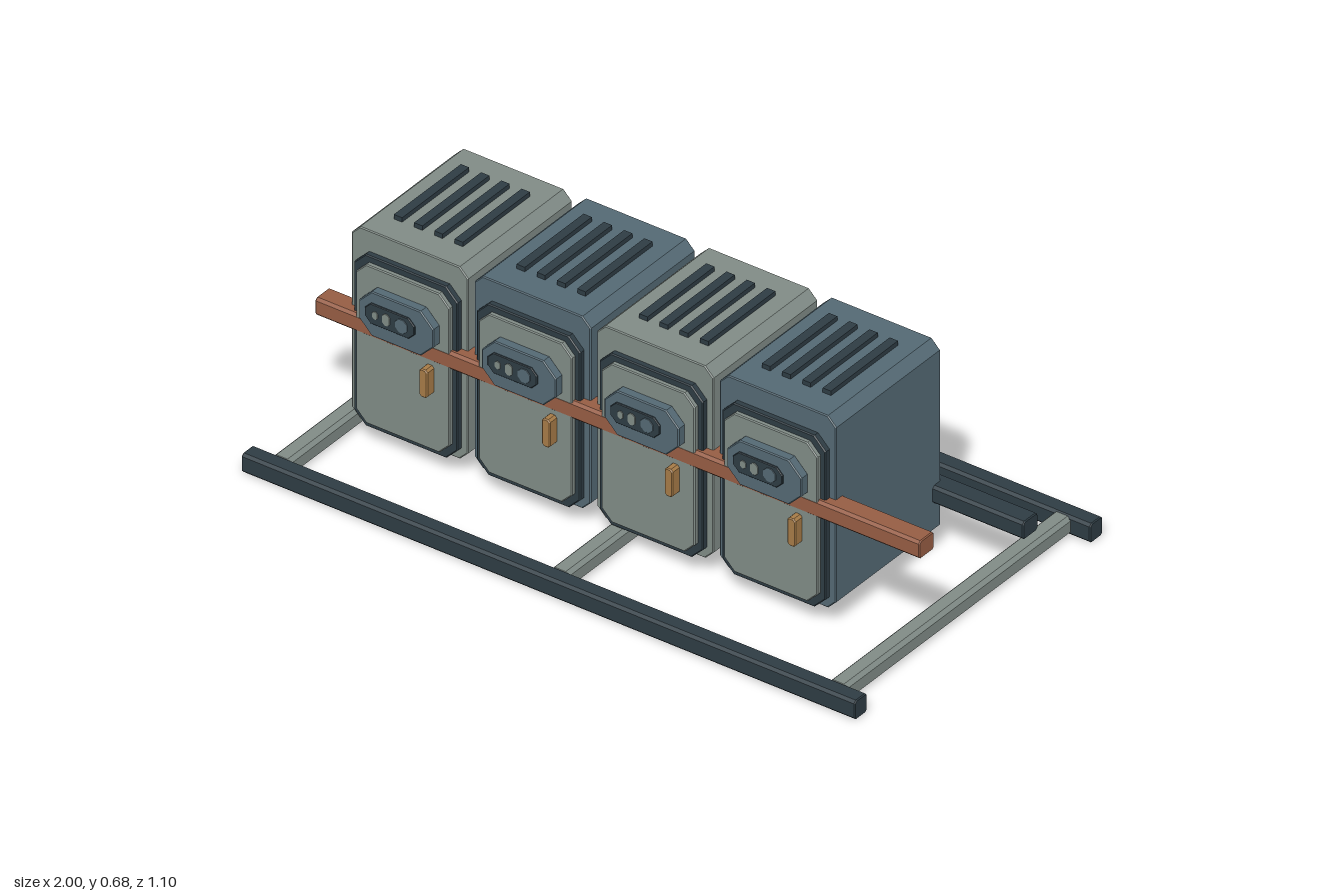
import * as THREE from 'three';

const mat = (name, color) => {
  const m = new THREE.MeshStandardMaterial({ color });
  m.name = name;
  return m;
};

// Octagonal block: w by h with corners cut by c, depth d along z, all outer edges bevelled by b
function block(w, h, c, d, b = 0.003) {
  const x = w / 2 - b, y = h / 2 - b, k = Math.min(c, x, y);
  const shape = new THREE.Shape([
    [x - k, -y], [x, -y + k], [x, y - k], [x - k, y],
    [-x + k, y], [-x, y - k], [-x, -y + k], [-x + k, -y],
  ].map(([px, py]) => new THREE.Vector2(px, py)));
  const geo = new THREE.ExtrudeGeometry(shape, {
    depth: d - 2 * b, bevelEnabled: b > 0, bevelSize: b, bevelThickness: b, bevelSegments: 1,
  });
  return geo.translate(0, 0, b - d / 2);
}

export function createModel() {
  const model = new THREE.Group();
  model.name = 'lockerRack';
  const dark = mat('charcoal', 0x2e3c44);
  const slate = mat('slate blue', 0x546974);
  const grey = mat('sage grey', 0x808b86);
  const copper = mat('copper brown', 0x965d44);
  const ochre = mat('ochre', 0xa67b47);

  const add = (parent, name, geo, material, x, y, z) => {
    const mesh = new THREE.Mesh(geo, material);
    mesh.name = name;
    mesh.position.set(x, y, z);
    parent.add(mesh);
    return mesh;
  };
  // Bar running along x between x0 and x1
  const barX = (name, material, x0, x1, y, z, h, d) =>
    add(model, name, block(d, h, 0.006, x1 - x0).rotateY(Math.PI / 2), material, (x0 + x1) / 2, y, z);

  // Base frame
  for (const s of [1, -1]) {
    barX(s > 0 ? 'frontBaseRail' : 'backBaseRail', dark, -1, 1, 0.03, s * 0.523, 0.06, 0.056);
  }
  for (const x of [-0.907, 0, 0.907]) {
    add(model, 'crossBar', block(0.058, 0.056, 0.009, 1.0), grey, x, 0.03, 0);
  }

  // Long bars across the front and back of the units
  barX('frontBar', copper, -0.97, 1, 0.382, 0.231, 0.056, 0.067);
  barX('backBar', dark, -0.97, 1, 0.197, -0.23, 0.056, 0.066);

  // Four units in alternating colours
  for (let i = 0; i < 4; i++) {
    const unit = new THREE.Group();
    unit.name = 'unit';
    unit.position.x = -0.685 + 0.4 * i;
    model.add(unit);

    add(unit, 'body', block(0.38, 0.605, 0.026, 0.464), i % 2 ? slate : grey, 0, 0.3625, 0);
    add(unit, 'doorFrame', block(0.338, 0.54, 0.036, 0.03), dark, 0, 0.33, 0.235);
    add(unit, 'doorPanel', block(0.305, 0.5, 0.032, 0.02), grey, 0, 0.33, 0.254);

    // Control panel with dark inset and indicators
    add(unit, 'controlPanel', block(0.243, 0.14, 0.04, 0.03), slate, 0, 0.455, 0.278);
    add(unit, 'controlInset', block(0.162, 0.064, 0.018, 0.01, 0.002), dark, -0.018, 0.459, 0.293);
    const lights = [[-0.064, 0.018, 0.024, grey], [-0.028, 0.024, 0.036, grey], [0.022, 0.04, 0.042, slate]];
    for (const [x, w, h, material] of lights) {
      add(unit, 'indicator', block(w, h, w * 0.3, 0.004, 0.0005), material, x, 0.459, 0.2985);
    }

    add(unit, 'latch', block(0.027, 0.088, 0.005, 0.034), ochre, 0.091, 0.304, 0.28);

    // Roof vents
    for (let k = 0; k < 4; k++) {
      add(unit, 'vent', new THREE.BoxGeometry(0.027, 0.03, 0.298), dark, -0.099 + 0.066 * k, 0.664, 0);
    }
  }
  return model;
}
